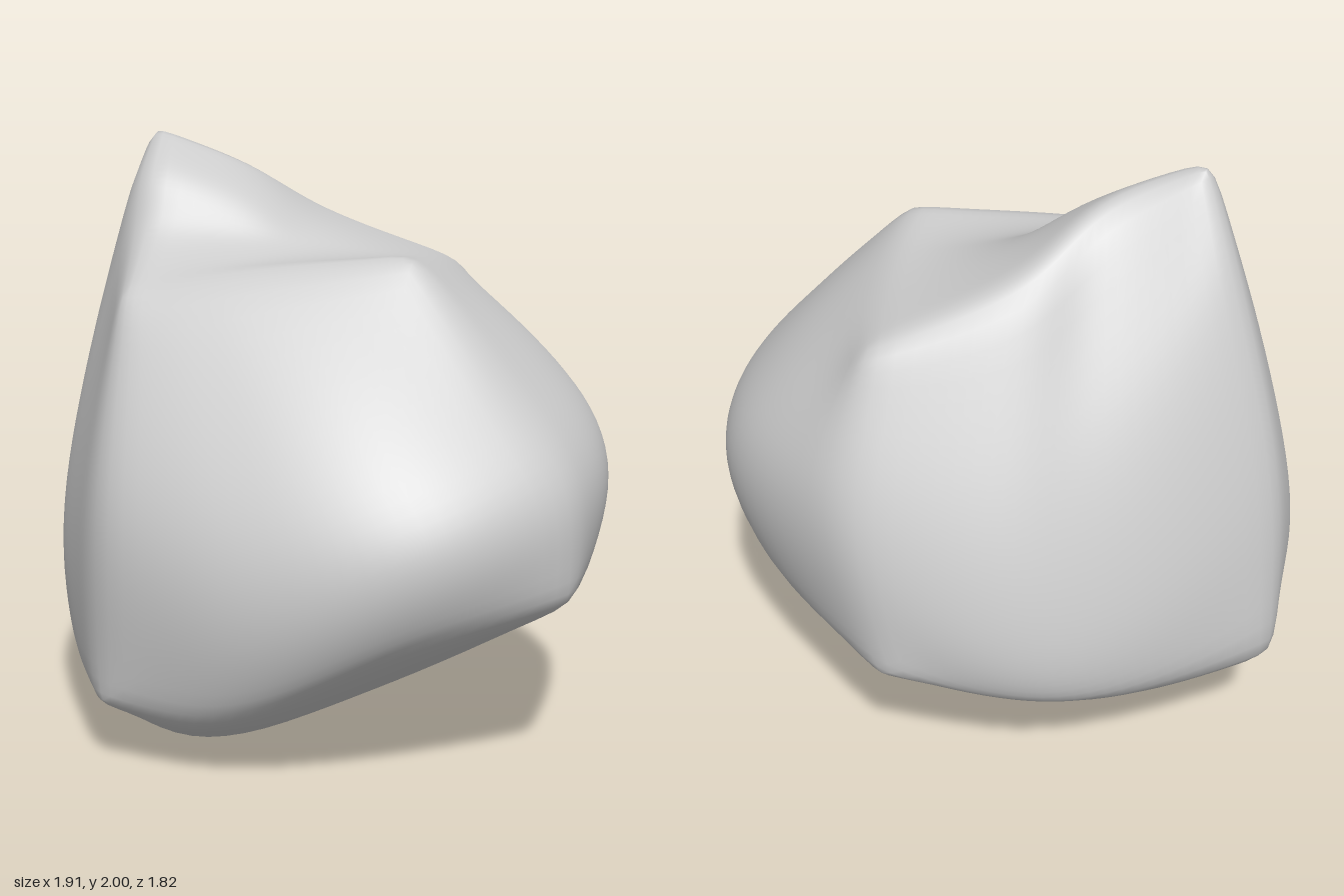
import * as THREE from 'three';
import { mergeVertices } from 'three/addons/utils/BufferGeometryUtils.js';

const N = 26; // grid cells along each side of a face

// Eight corners of the block: front/back, top/bottom, R (-x) / L (+x)
const corners = {
  ftR: [-0.635, 1.49, 0.31], ftL: [0.32, 1.635, 0.26],
  fbR: [-0.685, 0.18, 0.585], fbL: [0.85, 0.57, 0.61],
  btR: [-0.615, 2.04, -0.28], btL: [0.46, 1.53, -0.58],
  bbR: [-0.88, 0.41, -0.69], bbL: [0.42, 0.48, -0.87],
};

// Points each worn edge passes through between its two corners
const edges = {
  'ftR ftL': [[-0.3, 1.57, 0.3]],
  'fbR fbL': [[-0.25, 0.19, 0.73], [0.35, 0.47, 0.79]],
  'fbR ftR': [[-0.68, 0.85, 0.59]],
  'fbL ftL': [[0.82, 0.95, 0.6], [0.6, 1.27, 0.46]],
  'btR ftR': [[-0.635, 1.9, -0.06], [-0.64, 1.69, 0.06]],
  'btL ftL': [[0.38, 1.59, -0.05]],
  'btR btL': [[-0.31, 1.92, -0.3], [-0.05, 1.74, -0.48]],
  'bbR btR': [[-0.84, 1.1, -0.59], [-0.7, 1.73, -0.43]],
  'bbL btL': [[0.53, 1.08, -0.76]],
  'bbL bbR': [[-0.22, 0.38, -0.85]],
  'fbR bbR': [[-0.87, 0.27, 0]],
  'fbL bbL': [[0.87, 0.53, 0.22], [0.83, 0.49, -0.2]],
};

// Corners counter-clockwise from outside, then the point the middle bulges to
const faces = [
  ['fbR', 'fbL', 'ftL', 'ftR', [0.04, 0.84, 0.85]],
  ['fbL', 'bbL', 'btL', 'ftL', [0.91, 1.08, -0.08]],
  ['bbL', 'bbR', 'btR', 'btL', [-0.14, 0.9, -0.85]],
  ['bbR', 'fbR', 'ftR', 'btR', [-0.91, 0.9, -0.16]],
  ['ftR', 'ftL', 'btL', 'btR', [-0.1, 1.67, -0.03]],
  ['bbR', 'bbL', 'fbL', 'fbR', [-0.15, 0.025, 0.05]],
];

const vec = (p) => new THREE.Vector3(...p);

// Sampled edge from corner a to corner b, in either direction
function edge(a, b) {
  const forward = edges[`${a} ${b}`];
  const [from, to, mids] = forward ? [a, b, forward] : [b, a, edges[`${b} ${a}`]];
  const curve = new THREE.CatmullRomCurve3([corners[from], ...mids, corners[to]].map(vec));
  const points = curve.getPoints(N);
  return forward ? points : points.reverse();
}

// Surface stretched between four edges, bulging towards its middle point
function addFace([a, b, c, d, middle], positions, index) {
  const bottom = edge(a, b), right = edge(b, c), top = edge(d, c), left = edge(a, d);
  const stretch = (i, j) => {
    const u = i / N, v = j / N;
    return new THREE.Vector3()
      .addScaledVector(bottom[i], 1 - v).addScaledVector(top[i], v)
      .addScaledVector(left[j], 1 - u).addScaledVector(right[j], u)
      .addScaledVector(bottom[0], -(1 - u) * (1 - v)).addScaledVector(bottom[N], -u * (1 - v))
      .addScaledVector(top[N], -u * v).addScaledVector(top[0], -(1 - u) * v);
  };
  const bulge = vec(middle).sub(stretch(N / 2, N / 2));
  const start = positions.length / 3;
  for (let j = 0; j <= N; j++) {
    for (let i = 0; i <= N; i++) {
      const u = i / N, v = j / N;
      const p = stretch(i, j).addScaledVector(bulge, 16 * u * (1 - u) * v * (1 - v));
      positions.push(p.x, p.y, p.z);
      if (i < N && j < N) {
        const k = start + j * (N + 1) + i;
        index.push(k, k + 1, k + N + 2, k, k + N + 2, k + N + 1);
      }
    }
  }
}

// Average each vertex with its neighbours to wear down edges and corners
function wear(geometry, passes) {
  const pos = geometry.attributes.position, ids = geometry.index.array;
  const near = Array.from({ length: pos.count }, () => new Set());
  for (let t = 0; t < ids.length; t += 3) {
    for (let k = 0; k < 3; k++) {
      near[ids[t + k]].add(ids[t + (k + 1) % 3]);
      near[ids[t + (k + 1) % 3]].add(ids[t + k]);
    }
  }
  for (let pass = 0; pass < passes; pass++) {
    const old = near.map((_, i) => new THREE.Vector3().fromBufferAttribute(pos, i));
    near.forEach((set, i) => {
      const mean = new THREE.Vector3();
      set.forEach((n) => mean.add(old[n]));
      mean.divideScalar(set.size).lerp(old[i], 0.5);
      pos.setXYZ(i, mean.x, mean.y, mean.z);
    });
  }
}

export function createModel() {
  const positions = [], index = [];
  faces.forEach((face) => addFace(face, positions, index));

  let geometry = new THREE.BufferGeometry();
  geometry.setAttribute('position', new THREE.Float32BufferAttribute(positions, 3));
  geometry.setIndex(index);
  geometry = mergeVertices(geometry, 1e-4);
  wear(geometry, 5);

  // Stand on the ground, centred
  geometry.computeBoundingBox();
  const { min, max } = geometry.boundingBox;
  geometry.translate(-(min.x + max.x) / 2, -min.y, -(min.z + max.z) / 2);
  geometry.computeVertexNormals();

  const rock = new THREE.Mesh(geometry, new THREE.MeshStandardMaterial({ color: 0xcccccc }));
  rock.name = 'boulder';
  const group = new THREE.Group();
  group.name = 'rock';
  group.add(rock);
  return group;
}
